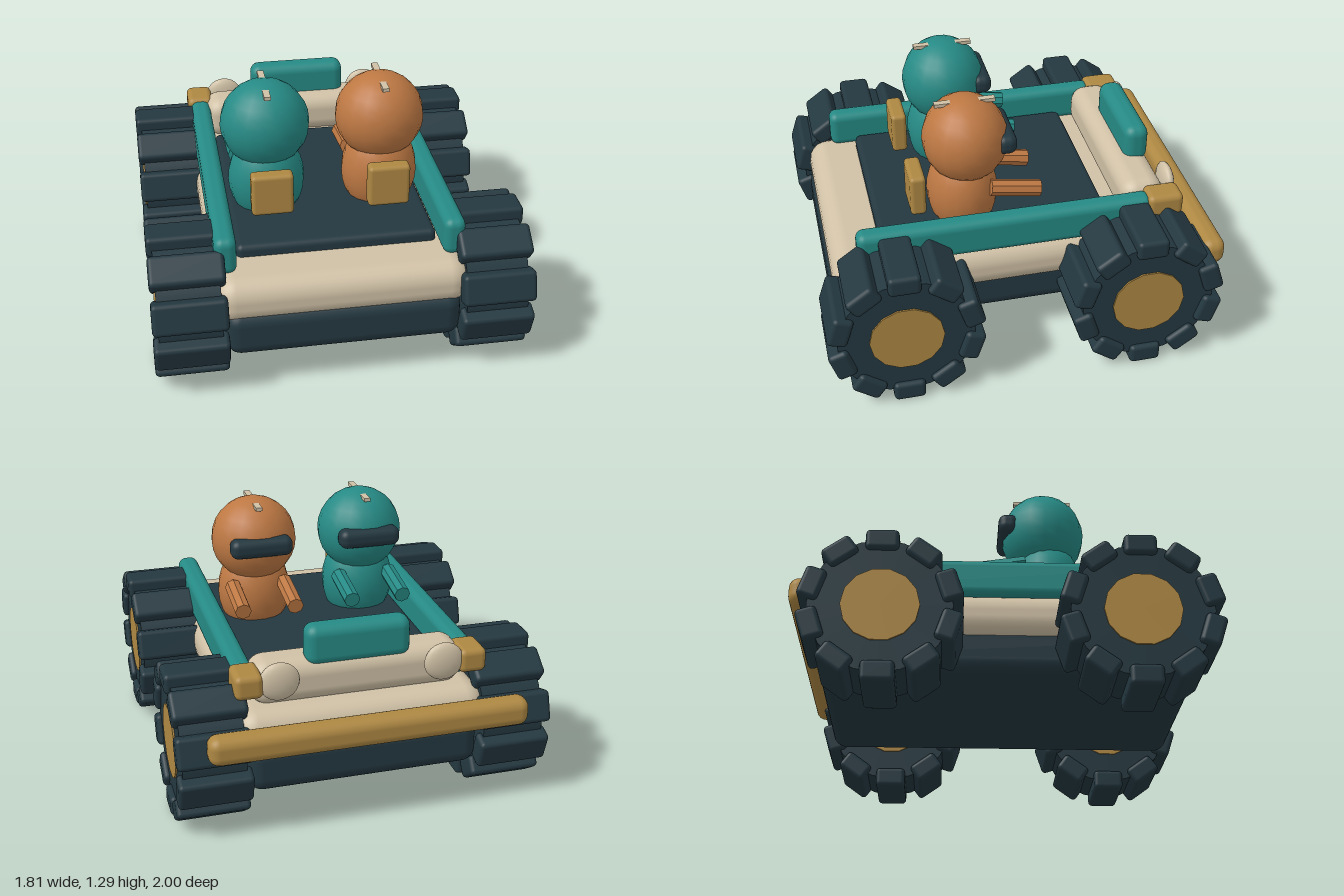
import * as THREE from 'three';
import { RoundedBoxGeometry } from 'three/addons/geometries/RoundedBoxGeometry.js';

const paint = (name, color) => {
  const m = new THREE.MeshStandardMaterial({ color });
  m.name = name;
  return m;
};

export function createModel() {
  const dark = paint('dark slate', 0x243840);
  const cream = paint('cream', 0xd0c1a6);
  const teal = paint('teal', 0x268a85);
  const orange = paint('orange', 0xbd7843);
  const gold = paint('gold', 0xae8843);

  const model = new THREE.Group();
  model.name = 'buggy';

  const add = (parent, name, geometry, material, x, y, z) => {
    const mesh = new THREE.Mesh(geometry, material);
    mesh.name = name;
    mesh.position.set(x, y, z);
    parent.add(mesh);
    return mesh;
  };
  const box = (parent, name, material, [w, h, d], r, [x, y, z]) =>
    add(parent, name, new RoundedBoxGeometry(w, h, d, 3, r), material, x, y, z);

  // Body: dark underside, cream shell and dark deck
  box(model, 'chassis', dark, [1.13, 0.24, 1.81], 0.07, [0, 0.32, 0.03]);
  box(model, 'bodyShell', cream, [1.22, 0.23, 1.79], 0.1, [0, 0.483, 0.03]);
  box(model, 'deck', dark, [0.97, 0.1, 1.145], 0.03, [0, 0.605, 0.102]);

  // Nose: cowl, upright bar and bumper
  box(model, 'cowl', cream, [1.03, 0.22, 0.22], 0.08, [0, 0.69, -0.645]);
  box(model, 'noseBar', teal, [0.51, 0.2, 0.125], 0.05, [0, 0.857, -0.683]);
  box(model, 'bumper', gold, [1.54, 0.14, 0.12], 0.05, [0, 0.51, -0.94]);

  // Paired rails, corner blocks and lamps
  for (const s of [-1, 1]) {
    box(model, 'sideRail', teal, [0.105, 0.19, 1.46], 0.04, [s * 0.545, 0.68, 0.07]);
    box(model, 'cornerBlock', gold, [0.135, 0.12, 0.18], 0.03, [s * 0.543, 0.725, -0.725]);
    const lamp = add(model, 'lamp', new THREE.SphereGeometry(1, 18, 12), cream, s * 0.4, 0.735, -0.787);
    lamp.scale.set(0.098, 0.095, 0.037);
  }

  // Wheels: tyre, hub and ten chunky tread blocks
  const tyreGeo = new THREE.CylinderGeometry(0.33, 0.33, 0.3, 20).rotateZ(Math.PI / 2);
  const hubGeo = new THREE.CylinderGeometry(0.18, 0.18, 0.316, 14).rotateZ(Math.PI / 2);
  const treadGeo = new RoundedBoxGeometry(0.355, 0.1, 0.155, 2, 0.022);
  for (const x of [-0.73, 0.73]) {
    for (const z of [-0.565, 0.623]) {
      const wheel = new THREE.Group();
      wheel.name = 'wheel';
      wheel.position.set(x, 0.378, z);
      add(wheel, 'tyre', tyreGeo, dark, 0, 0, 0);
      add(wheel, 'hub', hubGeo, gold, 0, 0, 0);
      for (let i = 0; i < 10; i++) {
        const a = (i / 10) * Math.PI * 2;
        const tread = add(wheel, 'tread', treadGeo, dark, 0, Math.cos(a) * 0.327, Math.sin(a) * 0.327);
        tread.rotation.x = a;
      }
      model.add(wheel);
    }
  }

  // Two riders looking over the nose
  const ball = new THREE.SphereGeometry(1, 18, 14);
  const armGeo = new THREE.CylinderGeometry(0.042, 0.042, 0.25, 8).toNonIndexed();
  armGeo.computeVertexNormals();
  const rider = (name, suit, x) => {
    const g = new THREE.Group();
    g.name = name;
    g.position.x = x;
    add(g, 'torso', ball, suit, 0, 0.78, 0.235).scale.set(0.19, 0.24, 0.175);
    add(g, 'head', ball, suit, 0, 1.07, 0.215).scale.set(0.22, 0.22, 0.21);
    box(g, 'visor', dark, [0.32, 0.1, 0.1], 0.04, [0, 1.08, 0.035]);
    box(g, 'backpack', gold, [0.205, 0.215, 0.078], 0.02, [0, 0.817, 0.467]);
    add(g, 'headStrip', new THREE.BoxGeometry(0.032, 0.018, 0.295), cream, 0, 1.267, 0.215);
    for (const s of [-1, 1]) {
      const arm = add(g, 'arm', armGeo, suit, s * 0.135, 0.825, -0.005);
      arm.rotation.x = Math.PI / 2 - 0.16 + Math.PI;
    }
    model.add(g);
  };
  rider('tealRider', teal, -0.285);
  rider('orangeRider', orange, 0.285);

  return model;
}
